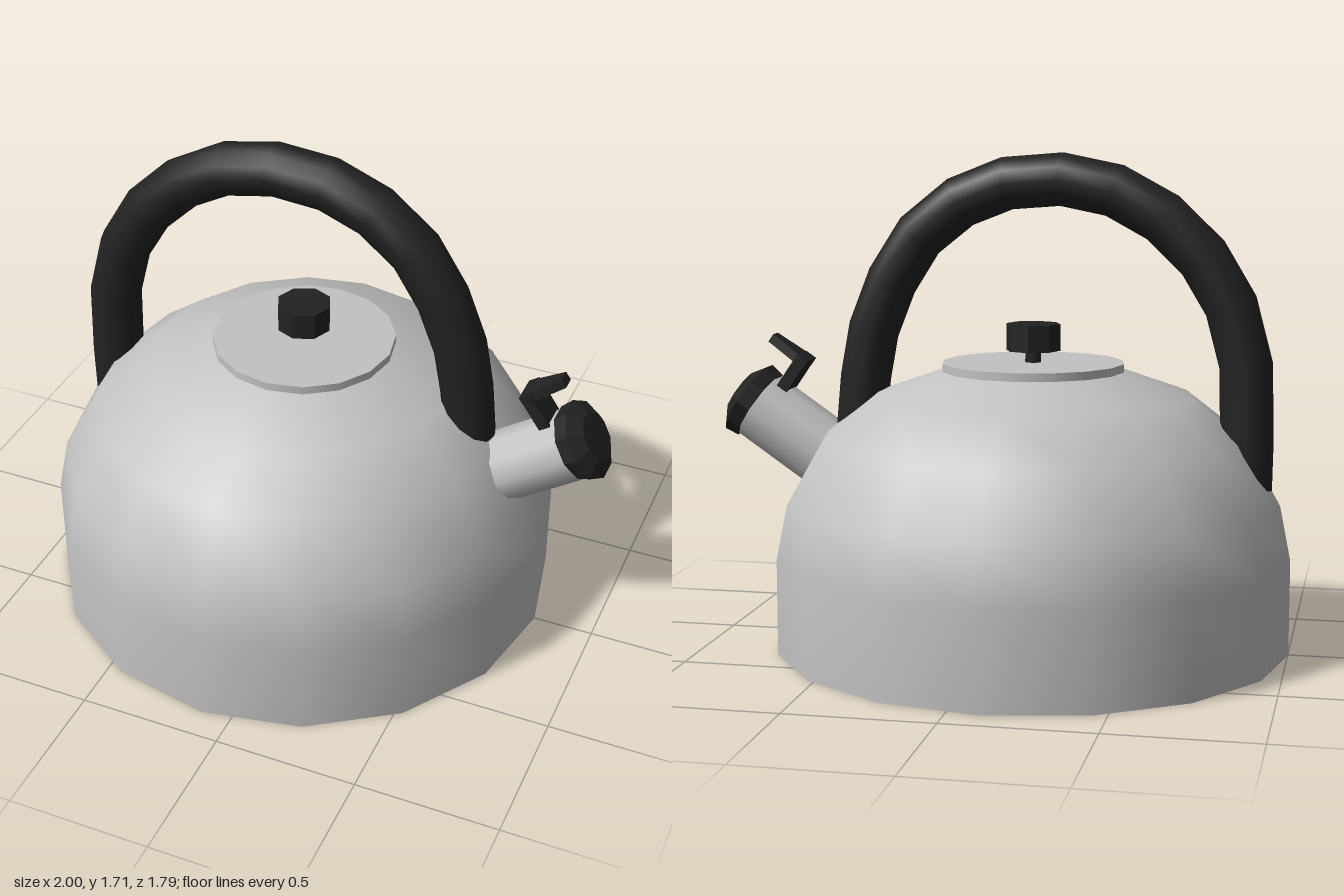
import * as THREE from 'three';

const steel = new THREE.MeshStandardMaterial({ color: 0xc2c2c2 });
steel.name = 'steel';
const black = new THREE.MeshStandardMaterial({ color: 0x222222 });
black.name = 'black plastic';

const CENTRE = -0.107; // axis of the body

function add(parent, name, geometry, material, x = 0, y = 0, z = 0) {
  const mesh = new THREE.Mesh(geometry, material);
  mesh.name = name;
  mesh.position.set(x, y, z);
  parent.add(mesh);
  return mesh;
}

function lathe(points, sides) {
  return new THREE.LatheGeometry(points.map(([r, y]) => new THREE.Vector2(r, y)), sides);
}

// Splits the faces so that each one has its own normal
function faceted(geometry) {
  const flat = geometry.toNonIndexed();
  flat.computeVertexNormals();
  return flat;
}

export function createModel() {
  const kettle = new THREE.Group();
  kettle.name = 'kettle';

  // Domed body and its flat base
  add(kettle, 'body', lathe([
    [0.895, 0], [0.895, 0.33], [0.857, 0.52], [0.732, 0.74], [0.55, 0.882], [0.315, 0.965],
  ], 16), steel, CENTRE);
  const base = new THREE.CircleGeometry(0.895, 16).rotateX(Math.PI / 2);
  add(kettle, 'base', base, steel, CENTRE);

  // Lid with knob
  add(kettle, 'lid', new THREE.CylinderGeometry(0.317, 0.317, 0.035, 16), steel, CENTRE, 0.9755);
  add(kettle, 'knobStem', new THREE.CylinderGeometry(0.028, 0.028, 0.06, 8), black, CENTRE, 1.015);
  add(kettle, 'knob', faceted(new THREE.CylinderGeometry(0.095, 0.095, 0.092, 8)), black, CENTRE, 1.08);

  // Arched handle, one ring of the tube at each path point
  const path = new THREE.CatmullRomCurve3([
    [-0.843, 0.5], [-0.847, 0.75], [-0.84, 1.0], [-0.787, 1.2], [-0.69, 1.362], [-0.552, 1.495],
    [-0.387, 1.585], [-0.205, 1.622], [-0.015, 1.607], [0.15, 1.542], [0.295, 1.425],
    [0.395, 1.267], [0.462, 1.095], [0.492, 0.93], [0.513, 0.7],
  ].map(([x, y]) => new THREE.Vector3(x, y, 0)));
  path.getPointAt = (t, target) => path.getPoint(t, target);
  path.getTangentAt = (t, target) => path.getTangent(t, target);
  add(kettle, 'handle', new THREE.TubeGeometry(path, 14, 0.091, 12), black);

  // Spout group: local y runs outward along the spout, local -x is its upper side
  const spout = new THREE.Group();
  spout.name = 'spout';
  spout.position.set(0.884, 0.815, 0);
  spout.rotation.z = THREE.MathUtils.degToRad(-55.6);
  kettle.add(spout);
  add(spout, 'spoutTube', new THREE.CylinderGeometry(0.125, 0.125, 0.42, 10), steel, 0, -0.2);
  add(spout, 'spoutCap', faceted(lathe([
    [0, 0], [0.132, 0], [0.14, 0.05], [0.085, 0.085], [0, 0.085],
  ], 10)), black);

  // Lever: post on the spout and a thumb arm that narrows toward its tip
  add(spout, 'leverPost', new THREE.BoxGeometry(0.136, 0.042, 0.11), black, -0.178, -0.043);
  const arm = new THREE.BoxGeometry(0.032, 0.16, 0.11);
  const p = arm.attributes.position;
  for (let i = 0; i < p.count; i++) if (p.getY(i) > 0) p.setZ(i, p.getZ(i) * 0.48);
  arm.computeVertexNormals();
  add(spout, 'leverArm', arm, black, -0.23, 0.015);

  return kettle;
}
